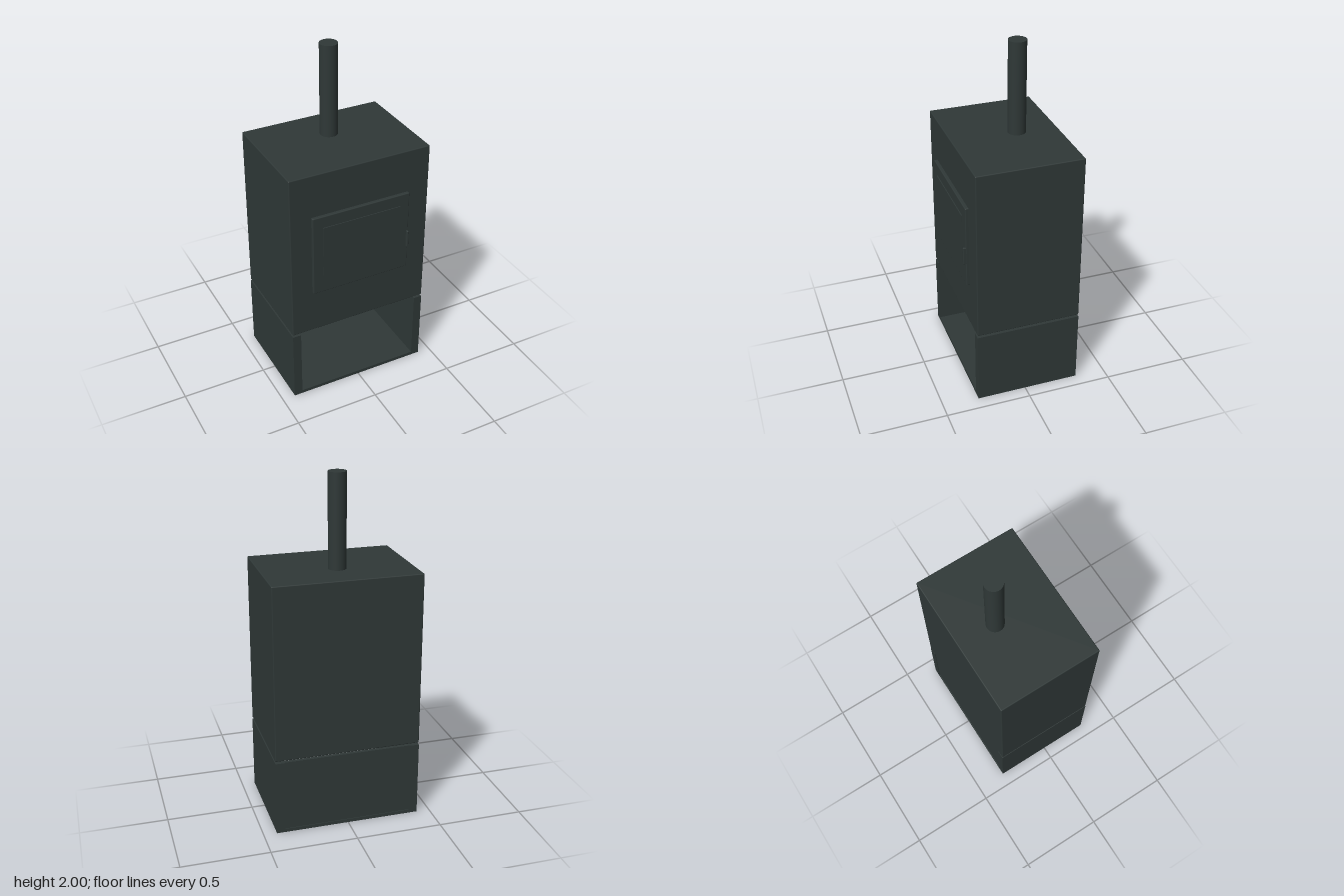
import * as THREE from 'three';
import { RoundedBoxGeometry } from 'three/addons/geometries/RoundedBoxGeometry.js';

export function createModel() {
  const stove = new THREE.Group();
  stove.name = 'woodStove';
  const iron = new THREE.MeshStandardMaterial({ color: 0x2f3837 });
  iron.name = 'dark iron';

  // Box given by its limits on each axis, with an optional edge radius
  function block(name, [x0, x1], [y0, y1], [z0, z1], radius = 0) {
    const size = [x1 - x0, y1 - y0, z1 - z0];
    const geometry = radius
      ? new RoundedBoxGeometry(...size, 3, radius)
      : new THREE.BoxGeometry(...size);
    const mesh = new THREE.Mesh(geometry, iron);
    mesh.name = name;
    mesh.position.set((x0 + x1) / 2, (y0 + y1) / 2, (z0 + z1) / 2);
    stove.add(mesh);
    return mesh;
  }

  const depth = [-0.322, 0.288];

  // Open log store: two side walls, floor and a slightly recessed back
  block('logStoreRightWall', [-0.423, -0.373], [0, 0.44], depth);
  block('logStoreLeftWall', [0.373, 0.423], [0, 0.44], depth);
  block('logStoreFloor', [-0.373, 0.373], [0, 0.02], depth);
  block('logStoreBack', [-0.373, 0.373], [0.02, 0.44], [-0.317, -0.295]);

  // Firebox, separated from the log store by a narrow gap
  block('firebox', [-0.423, 0.423], [0.453, 1.465], depth, 0.006);

  // Door with raised window pane and handle
  block('door', [-0.298, 0.295], [0.718, 1.21], [0.28, 0.307], 0.005);
  block('windowPane', [-0.238, 0.238], [0.83, 1.14], [0.3, 0.312]);
  block('doorHandle', [0.282, 0.294], [0.86, 0.965], [0.3, 0.322], 0.004);

  // Flue pipe
  const flue = new THREE.Mesh(new THREE.CylinderGeometry(0.051, 0.051, 0.54, 48), iron);
  flue.name = 'fluePipe';
  flue.position.set(0, 1.73, -0.09);
  stove.add(flue);

  return stove;
}
